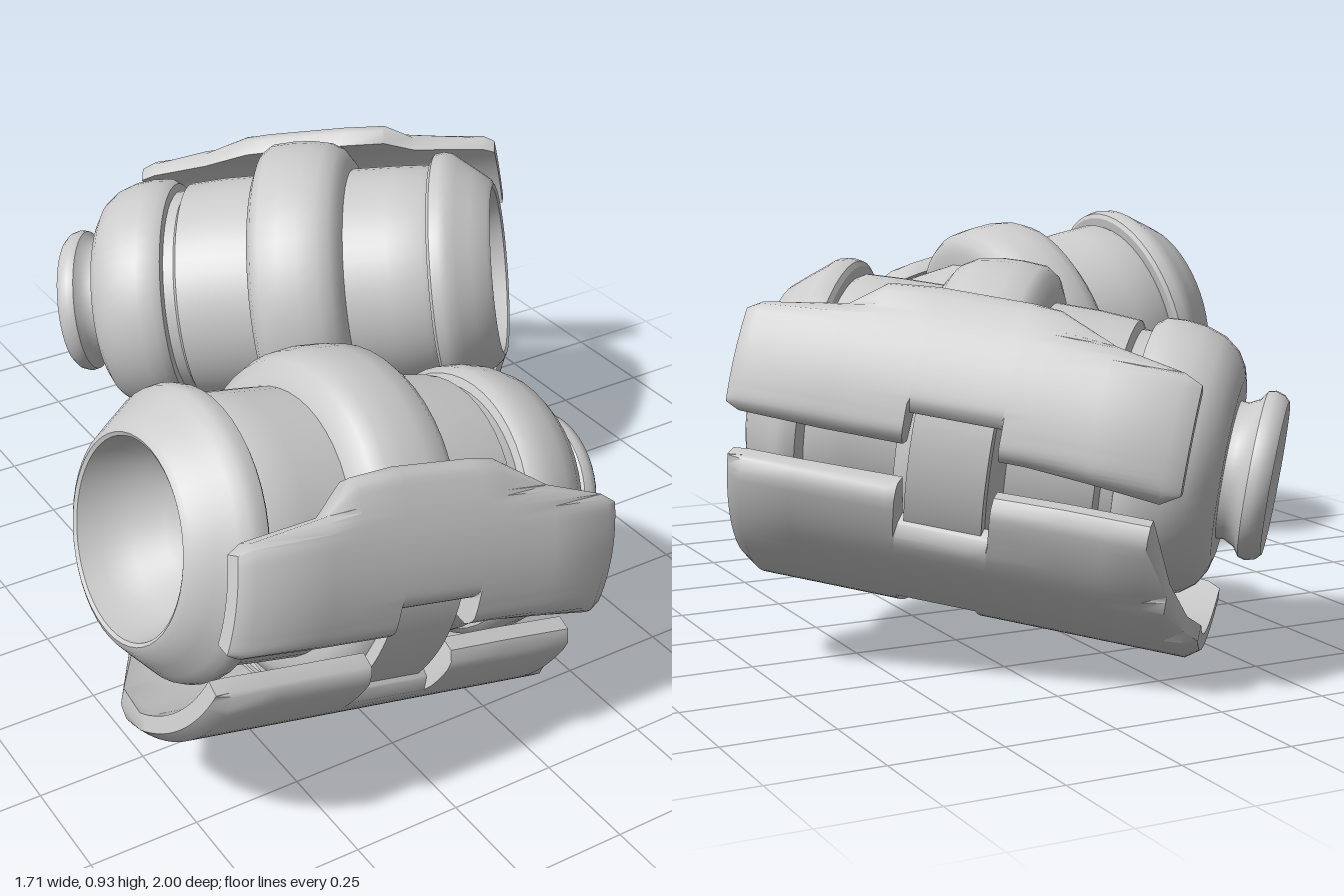
import * as THREE from 'three';
import { toCreasedNormals } from 'three/addons/utils/BufferGeometryUtils.js';

const material = new THREE.MeshStandardMaterial({ color: 0xcccccc, side: THREE.DoubleSide });
const PANEL_R = 0.42, PANEL_T = 0.058;

function part(name, geometry, crease = 0.6) {
  const mesh = new THREE.Mesh(toCreasedNormals(geometry, crease), material);
  mesh.name = name;
  return mesh;
}

// Turned part along +x from [radius, position] pairs
function turned(name, profile) {
  const g = new THREE.LatheGeometry(profile.map(p => new THREE.Vector2(p[0], p[1])), 48);
  return part(name, g.rotateZ(-Math.PI / 2));
}

// Curved armour shell from sections [t, low angle, high angle] around the x axis.
// One angle grid serves all sections; each section clamps it to its own edges.
function shell(name, sections) {
  const n = 36, ring = 2 * (n + 1), pos = [], idx = [];
  const min = Math.min(...sections.map(s => s[1]));
  const max = Math.max(...sections.map(s => s[2]));
  sections.forEach(([t, lo, hi], i) => {
    const end = i === 0 || i === sections.length - 1;
    for (let k = 0; k < ring; k++) {
      const outer = k <= n, j = outer ? k : ring - 1 - k;
      const a = THREE.MathUtils.clamp(min + (max - min) * j / n, lo, hi);
      // the outer face drops towards every edge
      const nearEdge = Math.max(0, 1 - Math.min(a - lo, hi - a) / 0.08);
      const r = outer ? PANEL_R - 0.022 * (end ? 1 : nearEdge ** 2) : PANEL_R - PANEL_T;
      pos.push(t, r * Math.sin(a), r * Math.cos(a));
    }
  });
  const quad = (a, b, c, d) => idx.push(a, b, c, a, c, d);
  for (let i = 0; i < sections.length - 1; i++) {
    for (let k = 0; k < ring; k++) {
      const k2 = (k + 1) % ring, p = i * ring, q = p + ring;
      quad(p + k, q + k, q + k2, p + k2);
    }
  }
  const last = (sections.length - 1) * ring;
  for (let j = 0; j < n; j++) {
    const m = ring - 1 - j;
    quad(j, j + 1, m - 1, m);
    quad(last + m, last + m - 1, last + j + 1, last + j);
  }
  const g = new THREE.BufferGeometry();
  g.setAttribute('position', new THREE.Float32BufferAttribute(pos, 3));
  g.setIndex(idx);
  return part(name, g, 0.8);
}

// Short curved strap bridging a notch in the shells
function strap(name, t0, t1, lo, hi, r, thick) {
  const s = new THREE.Shape();
  s.absarc(0, 0, r, lo, hi, false);
  s.absarc(0, 0, r - thick, hi, lo, true);
  const g = new THREE.ExtrudeGeometry(s, { depth: t1 - t0, bevelEnabled: false, curveSegments: 12 });
  // shape x -> forward, shape y -> up, depth -> along the pod
  g.applyMatrix4(new THREE.Matrix4().makeBasis(
    new THREE.Vector3(0, 0, 1), new THREE.Vector3(0, 1, 0), new THREE.Vector3(-1, 0, 0)));
  g.translate(t1, 0, 0);
  return part(name, g);
}

function pod(name, start, direction, roll) {
  const inner = new THREE.Group();
  inner.rotation.x = -roll;

  // Bowl nozzle with its chamfered rim and flange
  inner.add(turned('nozzle', [[0, 0.2], [0.06, 0.193], [0.12, 0.165], [0.17, 0.115], [0.2, 0.05],
    [0.212, 0.005], [0.22, 0], [0.235, 0.008], [0.265, 0.045], [0.292, 0.08], [0.308, 0.1],
    [0.313, 0.12], [0.31, 0.142], [0.3, 0.15], [0.27, 0.152]]));
  // Barrel
  inner.add(turned('barrel', [[0.27, 0.14], [0.284, 0.165], [0.288, 0.25], [0.294, 0.6],
    [0.294, 0.7], [0.288, 0.79], [0.27, 0.8], [0.27, 0.85]]));
  // Raised middle band
  inner.add(turned('middleBand', [[0.28, 0.358], [0.315, 0.365], [0.345, 0.385], [0.362, 0.415],
    [0.371, 0.46], [0.373, 0.51], [0.37, 0.56], [0.355, 0.583], [0.325, 0.597], [0.28, 0.602]]));
  // Rounded shoulder before the end cap
  inner.add(turned('shoulder', [[0.26, 0.825], [0.29, 0.83], [0.304, 0.85], [0.306, 0.89],
    [0.301, 0.935], [0.285, 0.98], [0.26, 1.012], [0.23, 1.03], [0.2, 1.038], [0.14, 1.038]]));
  // End cap
  inner.add(turned('endCap', [[0.155, 1.02], [0.152, 1.055], [0.164, 1.078], [0.184, 1.092],
    [0.188, 1.108], [0.182, 1.128], [0.17, 1.14], [0.164, 1.137], [0, 1.137]]));

  // Upper shell: notched below, stepped above
  const angle = y => Math.asin(y / PANEL_R);
  inner.add(shell('upperArmour', [
    [0.01, -0.04, 0.17], [0.04, -0.055, 0.19], [0.22, -0.06, 0.22], [0.29, -0.06, 0.28],
    [0.398, -0.06, 0.29], [0.402, 0.01, 0.29], [0.598, 0.01, 0.29], [0.602, -0.06, 0.29],
    [0.66, -0.06, 0.285], [0.79, -0.07, 0.23], [0.94, -0.085, 0.2], [0.98, -0.06, 0.18],
  ].map(([t, lo, hi]) => [t, angle(lo), angle(hi)])));

  // Lower shell: wraps underneath, notched on both long edges
  inner.add(shell('lowerArmour', [
    [0.025, -1.2, -0.38], [0.06, -1.55, -0.37], [0.17, -1.98, -0.37], [0.378, -2.08, -0.36],
    [0.382, -1.35, -0.36], [0.398, -1.35, -0.36], [0.402, -1.35, -0.6], [0.558, -1.35, -0.6],
    [0.562, -2.08, -0.6], [0.598, -2.08, -0.6], [0.602, -2.08, -0.34], [0.75, -2.12, -0.33],
    [0.84, -2.28, -0.33], [0.93, -2.3, -0.33], [0.98, -2.3, -0.75], [1.02, -2.3, -1.05],
    [1.05, -2.25, -1.15],
  ]));

  // Straps recessed in the notches
  inner.add(strap('sideBracket', 0.412, 0.58, -0.64, 0.08, 0.388, 0.05));
  inner.add(strap('underBracket', 0.37, 0.57, -2.06, -1.3, 0.395, 0.04));

  const d = new THREE.Vector3(...direction).normalize();
  const out = d.clone().cross(new THREE.Vector3(0, 1, 0)).normalize();
  const up = out.clone().cross(d);
  const group = new THREE.Group();
  group.name = name;
  group.quaternion.setFromRotationMatrix(new THREE.Matrix4().makeBasis(d, up, out));
  group.position.set(...start);
  group.add(inner);
  return group;
}

export function createModel() {
  const model = new THREE.Group();
  model.name = 'thrusterPods';
  model.add(pod('frontPod', [-0.8, 0.66, 0.58], [1.12, -0.275, -0.035], 0));
  model.add(pod('rearPod', [0.61, 0.61, -0.078], [-0.77, -0.15, -0.62], 0.16));
  return model;
}
